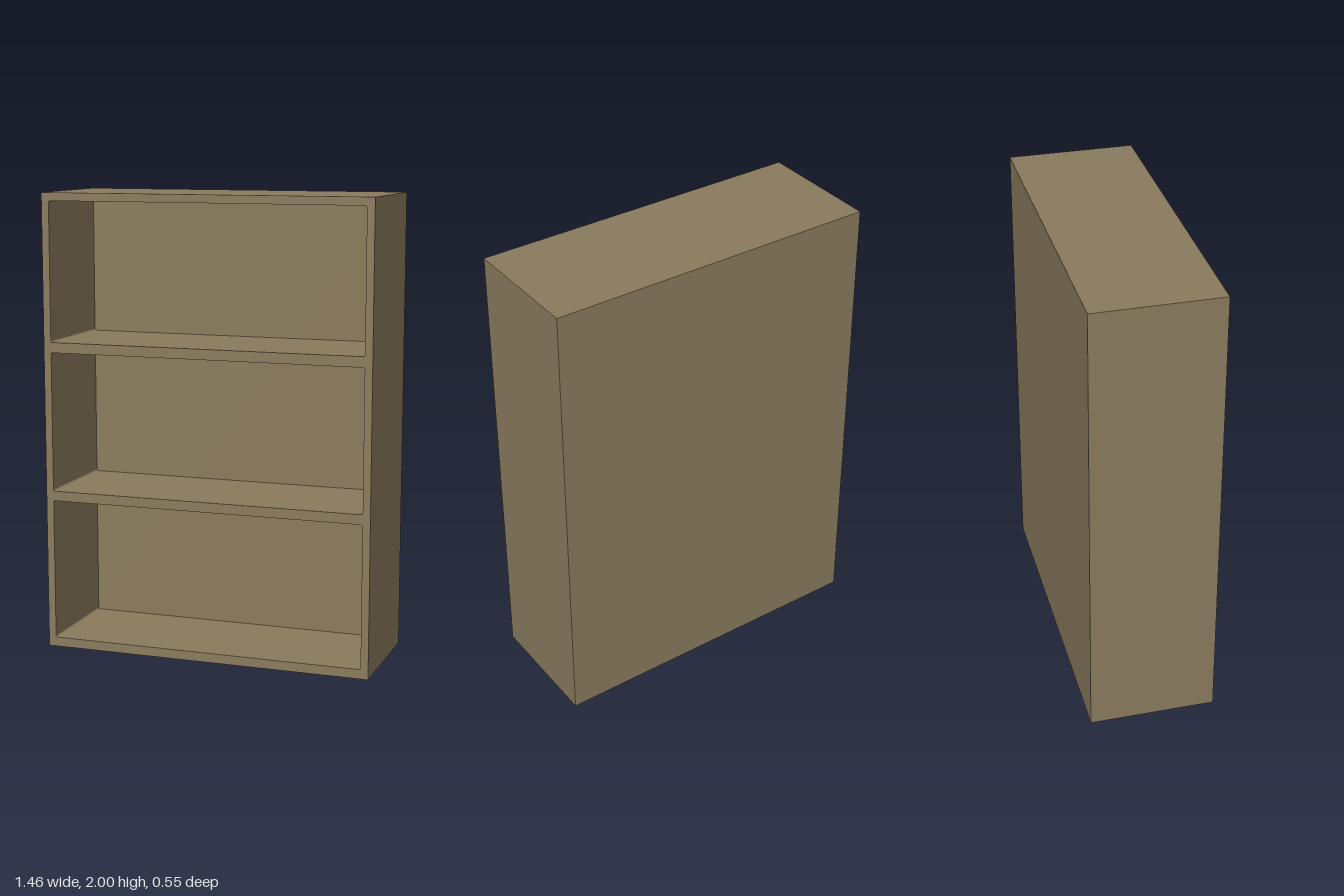
import * as THREE from 'three';

const W = 1.46, H = 2, D = 0.546;      // outer size
const BACK = 0.07;                     // back panel thickness
const HALF_OPENING = 0.697;            // half width of each compartment
const R = 0.008;                       // small corner radius of the openings
const COMPARTMENTS = [[0.041, 0.661], [0.704, 1.314], [1.359, 1.965]]; // bottom, top

// Rectangular opening with slightly rounded corners
function opening(bottom, top) {
  const x = HALF_OPENING, path = new THREE.Path();
  path.absarc(x - R, top - R, R, 0, Math.PI / 2);
  path.absarc(-x + R, top - R, R, Math.PI / 2, Math.PI);
  path.absarc(-x + R, bottom + R, R, Math.PI, Math.PI * 1.5);
  path.absarc(x - R, bottom + R, R, Math.PI * 1.5, Math.PI * 2);
  path.closePath();
  return path;
}

export function createModel() {
  const group = new THREE.Group();
  group.name = 'bookcase';
  const wood = new THREE.MeshStandardMaterial({ color: 0x8b7c5e });

  // Sides, top, base and shelves as one frame with three openings
  const outline = new THREE.Shape([
    new THREE.Vector2(-W / 2, 0), new THREE.Vector2(W / 2, 0),
    new THREE.Vector2(W / 2, H), new THREE.Vector2(-W / 2, H),
  ]);
  outline.holes = COMPARTMENTS.map(([bottom, top]) => opening(bottom, top));
  const frame = new THREE.Mesh(
    new THREE.ExtrudeGeometry(outline, { depth: D - BACK, bevelEnabled: false, curveSegments: 3 }), wood);
  frame.name = 'shelfFrame';
  frame.position.z = -D / 2 + BACK;
  group.add(frame);

  // Solid back panel closing the compartments
  const back = new THREE.Mesh(new THREE.BoxGeometry(W, H, BACK), wood);
  back.name = 'backPanel';
  back.position.set(0, H / 2, -D / 2 + BACK / 2);
  group.add(back);

  return group;
}
